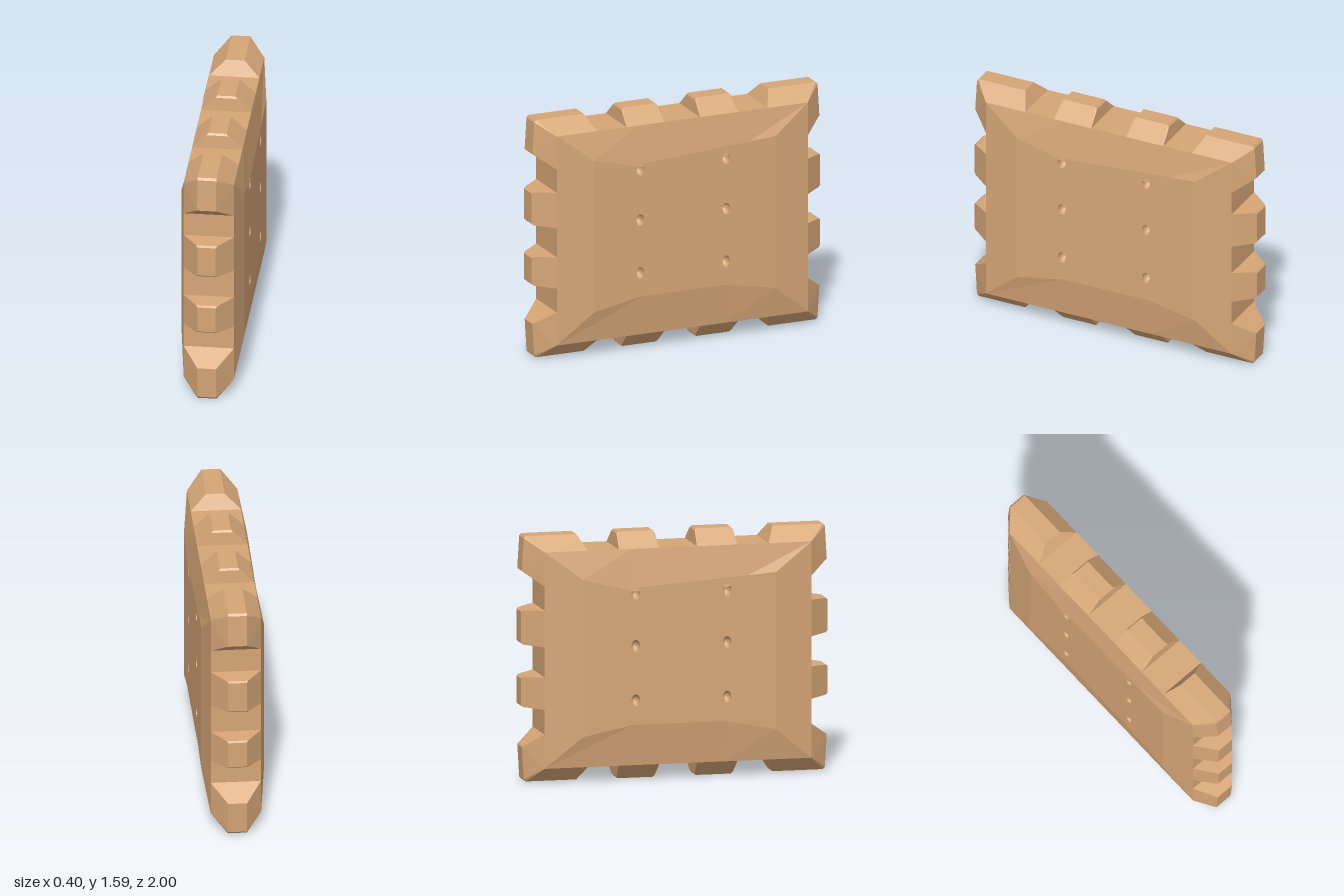
import * as THREE from 'three';
import { ConvexGeometry } from 'three/addons/geometries/ConvexGeometry.js';

const H = 1.585;          // overall height
const EDGE_Z = 0.87;      // half length of the slab without teeth
const EDGE_Y = 0.695;     // half height of the slab without teeth
const MID = H / 2;

export function createModel() {
  const model = new THREE.Group();
  model.name = 'biscuit';
  const biscuit = new THREE.MeshStandardMaterial({ color: 0xd6a677, side: THREE.DoubleSide });
  biscuit.name = 'baked biscuit';

  const add = (name, geometry) => {
    const mesh = new THREE.Mesh(geometry, biscuit);
    mesh.name = name;
    model.add(mesh);
    return mesh;
  };

  // Outlines as [z, y from the middle]: flat face and outer edge of the slab
  const face = [[0.63, -0.495], [0.3, -0.43], [-0.3, -0.43], [-0.63, -0.495],
    [-0.63, 0.515], [-0.3, 0.43], [0.3, 0.43], [0.63, 0.515]];
  const edge = [[EDGE_Z, -EDGE_Y], [0.3, -EDGE_Y], [-0.3, -EDGE_Y], [-EDGE_Z, -EDGE_Y],
    [-EDGE_Z, EDGE_Y], [-0.3, EDGE_Y], [0.3, EDGE_Y], [EDGE_Z, EDGE_Y]];

  // Slab rim: sloped borders and straight walls
  const rings = [[-0.2, face], [-0.16, edge], [0.16, edge], [0.2, face]];
  const pos = [];
  for (let r = 0; r < 3; r++) {
    const at = (k, i) => [rings[k][0], MID + rings[k][1][i % 8][1], rings[k][1][i % 8][0]];
    for (let i = 0; i < 8; i++) {
      const a = at(r, i), b = at(r, i + 1), c = at(r + 1, i + 1), d = at(r + 1, i);
      pos.push(...a, ...b, ...c, ...a, ...c, ...d);
    }
  }
  const rim = new THREE.BufferGeometry();
  rim.setAttribute('position', new THREE.Float32BufferAttribute(pos, 3));
  rim.computeVertexNormals();
  add('slabRim', rim);

  // Flat faces, each pierced by six dimples
  const dimples = [];
  for (const z of [0.31, -0.285]) for (const y of [1.205, 0.87, 0.52]) dimples.push([z, y]);
  for (const s of [1, -1]) {
    const shape = new THREE.Shape(face.map(([z, y]) => new THREE.Vector2(-s * z, MID + y)));
    for (const [z, y] of dimples) {
      const hole = new THREE.Path();
      hole.absellipse(-s * z, y, 0.028, 0.038, 0, Math.PI * 2, true);
      shape.holes.push(hole);
      const bowl = new THREE.SphereGeometry(1, 16, 6, 0, Math.PI * 2, Math.PI / 2, Math.PI / 2);
      bowl.rotateZ(s * -Math.PI / 2);
      bowl.scale(0.05, 0.038, 0.028);
      add('dimple', bowl).position.set(s * 0.2, y, z);
    }
    const plate = new THREE.ShapeGeometry(shape, 16);
    add('slabFace', plate.rotateY(s * Math.PI / 2)).position.x = s * 0.2;
  }

  // Tapered tooth: layers of [height, half thickness, half width]
  const tooth = (name, height, halfWidth, place) => {
    const pts = [];
    const layers = [[-0.02, 0.16, halfWidth], [0, 0.16, halfWidth],
      [height - 0.012, 0.068, halfWidth - 0.008], [height, 0.058, halfWidth - 0.018]];
    for (const [h, x, w] of layers)
      for (const sx of [1, -1]) for (const sw of [1, -1]) pts.push(place(sx * x, sw * w, h));
    add(name, new ConvexGeometry(pts));
  };

  for (const s of [1, -1]) {
    // Two teeth on the top and the bottom, two on each end
    for (const z of [0.255, -0.255])
      tooth(s > 0 ? 'topTooth' : 'bottomTooth', MID - EDGE_Y, 0.132,
        (x, w, h) => new THREE.Vector3(x, MID + s * (EDGE_Y + h), z + w));
    for (const y of [0.995, 0.58])
      tooth(s > 0 ? 'frontTooth' : 'backTooth', 1 - EDGE_Z, y > MID ? 0.118 : 0.104,
        (x, w, h) => new THREE.Vector3(x, y + w, s * (EDGE_Z + h)));

    // Chunky corner blocks: [half thickness, z, y from the middle]
    for (const t of [1, -1]) {
      const pts = [];
      const corner = [[0.16, 0.59, EDGE_Y], [0.16, EDGE_Z, EDGE_Y], [0.16, EDGE_Z, 0.475],
        [0.06, 0.64, MID - 0.004], [0.06, 0.97, MID - 0.004], [0.06, 0.982, MID - 0.018],
        [0.06, 0.995, 0.565]];
      for (const [x, z, y] of corner)
        for (const sx of [1, -1]) pts.push(new THREE.Vector3(sx * x, MID + t * y, s * z));
      add((t > 0 ? 'top' : 'bottom') + (s > 0 ? 'Front' : 'Back') + 'Corner', new ConvexGeometry(pts));
    }
  }
  return model;
}
